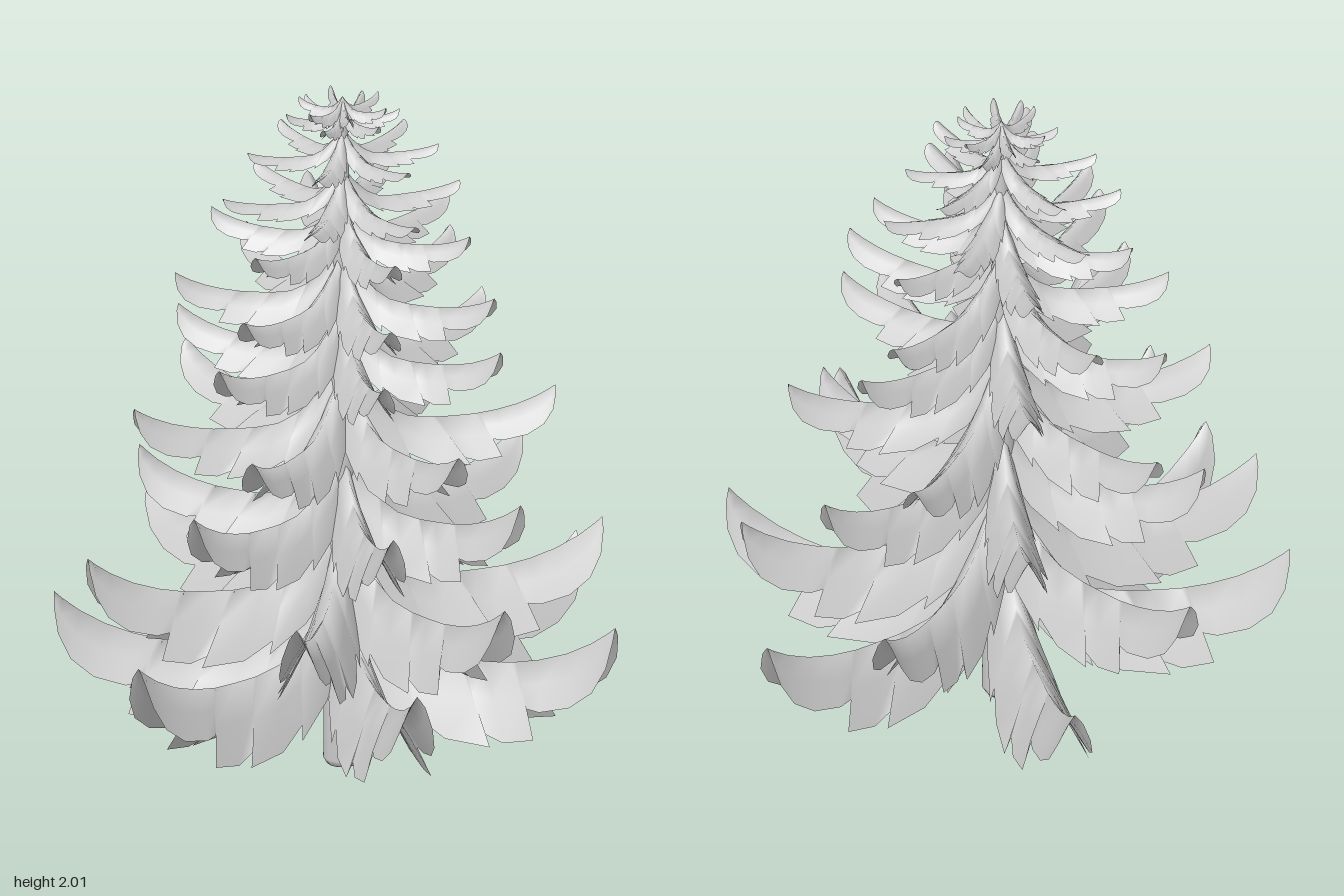
import * as THREE from 'three';

const material = new THREE.MeshStandardMaterial({ color: 0xcccccc, side: THREE.DoubleSide });

// Cross-sections from tip to trunk:
// ridge position, ridge height, edge position, half width, edge height
const sections = [
  [1, 1, 1, 0.03, 0.9], [0.97, 0.94, 0.985, 0.06, 0.7], [0.91, 0.84, 0.94, 0.078, 0.5],
  [0.82, 0.73, 0.86, 0.088, 0.36], [0.72, 0.65, 0.75, 0.088, 0.29], [0.64, 0.61, 0.7, 0.08, 0.3],
  [0.62, 0.6, 0.74, 0.12, 0.08], [0.52, 0.58, 0.63, 0.125, 0.03], [0.44, 0.57, 0.55, 0.11, 0.08],
  [0.42, 0.57, 0.59, 0.145, 0], [0.31, 0.57, 0.42, 0.13, 0.01], [0.22, 0.57, 0.3, 0.105, 0.13],
  [0.2, 0.57, 0.32, 0.125, 0.03], [0.1, 0.57, 0.17, 0.095, 0.12], [0, 0.57, 0.03, 0.055, 0.22],
];

// Extra height of a branch as it climbs towards the trunk
const rootRise = (s, length) => 0.3 * length * Math.max(0, 1 - s / 0.38) ** 2;

// Folded, feathered branch pointing along +z with an upturned tip
function branchGeometry(length, height) {
  const positions = [], index = [];
  const columns = [-1, -0.5, 0, 0.5, 1];
  sections.forEach(([s, high, edge, width, low], row) => {
    const top = high * height + rootRise(s, length);
    const bottom = low * height + 0.7 * rootRise(edge, length);
    for (const c of columns) {
      const t = Math.abs(c);
      positions.push(
        c * width * length,
        THREE.MathUtils.lerp(top, bottom, t === 0.5 ? 0.46 : t),
        THREE.MathUtils.lerp(s, edge, t) * length,
      );
    }
    if (row === 0) return;
    for (let j = 0; j < 4; j++) {
      const a = (row - 1) * 5 + j, b = a + 5;
      index.push(a, a + 1, b, a + 1, b + 1, b);
    }
  });
  const geometry = new THREE.BufferGeometry();
  geometry.setAttribute('position', new THREE.Float32BufferAttribute(positions, 3));
  geometry.setIndex(index);
  geometry.computeVertexNormals();
  return geometry;
}

// Tiers from the ground up: lowest y, height, branch length, branch headings in degrees
const tiers = [
  [0.15, 0.36, 0.81, [0, 60, 116, 171, 240, 314]],
  [0.37, 0.32, 0.74, [35, 83, 145, 199, 271, 330]],
  [0.64, 0.26, 0.59, [0, 59, 103, 168, 233, 300]],
  [0.92, 0.2, 0.6, [20, 78, 140, 201, 272, 328]],
  [1.15, 0.17, 0.49, [0, 59, 110, 172, 235, 295]],
  [1.34, 0.14, 0.47, [9, 62, 110, 185, 260, 315]],
  [1.53, 0.11, 0.38, [5, 68, 115, 175, 240, 300]],
  [1.665, 0.06, 0.34, [30, 82, 150, 205, 270, 325]],
  [1.81, 0.05, 0.27, [30, 88, 140, 185, 265, 325]],
  [1.92, 0.05, 0.16, [25, 85, 140, 205, 265, 325]],
  [1.945, 0.05, 0.13, [0, 55, 115, 175, 240, 295]],
];

export function createModel() {
  const tree = new THREE.Group();
  tree.name = 'tree';

  // Tapering trunk with a bevelled foot
  const profile = [[0, 0], [0.045, 0], [0.056, 0.02], [0.054, 0.25], [0.04, 0.9],
    [0.028, 1.5], [0.015, 1.9], [0.006, 1.98], [0, 1.98]];
  const trunk = new THREE.Mesh(
    new THREE.LatheGeometry(profile.map(([r, y]) => new THREE.Vector2(r, y)), 12), material);
  trunk.name = 'trunk';
  tree.add(trunk);

  // Rings of branches
  tiers.forEach(([y, height, length, headings], i) => {
    const tier = new THREE.Group();
    tier.name = `branchTier${i + 1}`;
    tier.position.y = y;
    const geometry = branchGeometry(length, height);
    headings.forEach((degrees) => {
      const branch = new THREE.Mesh(geometry, material);
      branch.name = 'branch';
      branch.rotation.y = THREE.MathUtils.degToRad(degrees);
      tier.add(branch);
    });
    tree.add(tier);
  });

  return tree;
}
